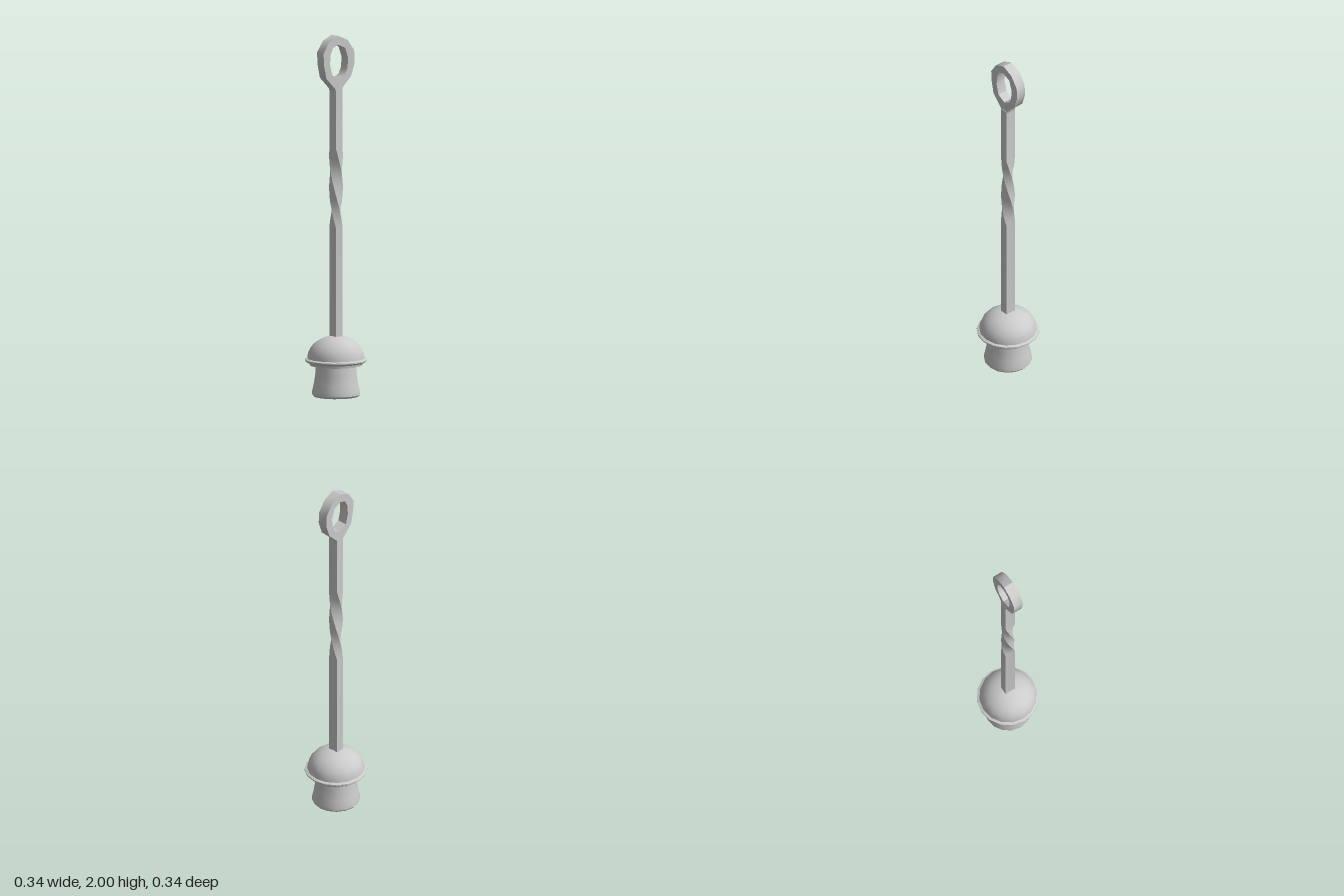
import * as THREE from 'three';
import { toCreasedNormals } from 'three/addons/utils/BufferGeometryUtils.js';

const material = new THREE.MeshStandardMaterial({ color: 0xcccccc });
const points = (list) => list.map(([x, y]) => new THREE.Vector2(x, y));

function part(name, geometry, crease) {
  const mesh = new THREE.Mesh(toCreasedNormals(geometry, crease), material);
  mesh.name = name;
  return mesh;
}

// Flared foot, stepped rim and domed cap, turned as one profile
function createBase() {
  const profile = [
    [0, 0], [0.124, 0], [0.132, 0.01], [0.131, 0.03], [0.122, 0.07],
    [0.115, 0.115], [0.11, 0.172], [0.145, 0.172], [0.147, 0.185],
    [0.158, 0.187], [0.172, 0.197], [0.172, 0.204], [0.158, 0.21],
  ];
  const steps = 7;
  for (let i = 1; i <= steps; i++) {
    const a = (i / steps) * Math.PI / 2;
    profile.push([i === steps ? 0 : 0.158 * Math.cos(a), 0.21 + 0.125 * Math.sin(a)]);
  }
  return part('base', new THREE.LatheGeometry(points(profile), 16), 0.6);
}

// Rectangular bar with a half-turn twist in the middle
function createShaft() {
  const twistRows = 16, rows = twistRows + 2;
  const bottom = 0.32, top = 1.705, twistStart = 0.93, twistEnd = 1.37;
  const geometry = new THREE.BoxGeometry(0.045, 1, 0.06, 1, rows, 1);
  const pos = geometry.attributes.position;
  const axis = new THREE.Vector3(0, 1, 0);
  const v = new THREE.Vector3();
  for (let i = 0; i < pos.count; i++) {
    v.fromBufferAttribute(pos, i);
    const row = Math.round((v.y + 0.5) * rows);
    const t = THREE.MathUtils.clamp((row - 1) / twistRows, 0, 1);
    v.y = row === 0 ? bottom : row === rows ? top : THREE.MathUtils.lerp(twistStart, twistEnd, t);
    v.applyAxisAngle(axis, -Math.PI * t);
    pos.setXYZ(i, v.x, v.y, v.z);
  }
  return part('twistedShaft', geometry, 0.6);
}

// Flat bar bent into a closed eye
function createEye() {
  const shape = new THREE.Shape(points([
    [-0.022, 1.69], [0.022, 1.69], [0.025, 1.712], [0.085, 1.77], [0.11, 1.845],
    [0.106, 1.91], [0.06, 1.972], [-0.006, 2], [-0.07, 1.972], [-0.11, 1.91],
    [-0.106, 1.845], [-0.09, 1.77], [-0.026, 1.705],
  ]));
  shape.holes.push(new THREE.Path(points([
    [0, 1.76], [-0.048, 1.785], [-0.064, 1.845], [-0.06, 1.9], [-0.042, 1.937],
    [-0.006, 1.95], [0.042, 1.93], [0.064, 1.87], [0.058, 1.815], [0.042, 1.78],
  ])));
  const geometry = new THREE.ExtrudeGeometry(shape, { depth: 0.057, bevelEnabled: false });
  geometry.translate(0, 0, -0.0295);
  return part('eye', geometry, 0.75);
}

export function createModel() {
  const group = new THREE.Group();
  group.name = 'eyeRod';
  group.add(createBase(), createShaft(), createEye());
  return group;
}
